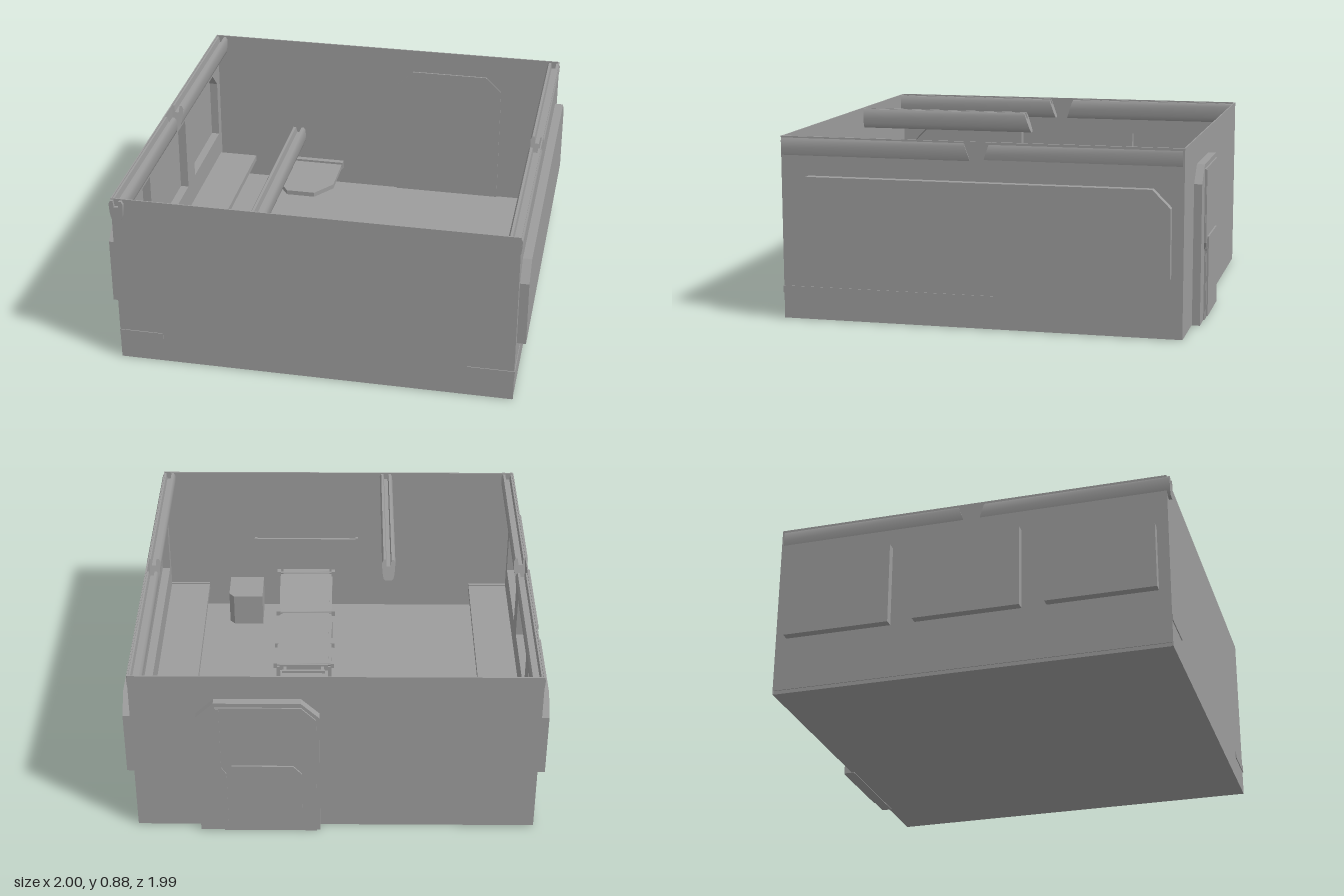
import * as THREE from 'three';
import { toCreasedNormals } from 'three/addons/utils/BufferGeometryUtils.js';

const mat = new THREE.MeshStandardMaterial({ color: 0x9c9c9c, side: THREE.DoubleSide });

function toShape(pts, holes = []) {
  const s = new THREE.Shape(pts.map(p => new THREE.Vector2(p[0], p[1])));
  holes.forEach(h => s.holes.push(new THREE.Path(h.map(p => new THREE.Vector2(p[0], p[1])))));
  return s;
}
const extrude = (shape, depth) => new THREE.ExtrudeGeometry(shape, { depth, bevelEnabled: false });

export function createModel() {
  const room = new THREE.Group();
  room.name = 'room';

  function add(name, geo, parent = room) {
    const m = new THREE.Mesh(geo, mat);
    m.name = name;
    parent.add(m);
    return m;
  }
  function box(name, x0, x1, y0, y1, z0, z1, parent) {
    const g = new THREE.BoxGeometry(x1 - x0, y1 - y0, z1 - z0);
    return add(name, g.translate((x0 + x1) / 2, (y0 + y1) / 2, (z0 + z1) / 2), parent);
  }
  // outline in [x, z], extruded upward
  function slab(name, pts, y0, y1, parent) {
    const g = extrude(toShape(pts.map(([x, z]) => [x, -z])), y1 - y0);
    return add(name, g.rotateX(-Math.PI / 2).translate(0, y0, 0), parent);
  }
  // outline in [z, y], extruded sideways
  function side(name, pts, x0, x1, holes = [], parent) {
    const flip = a => a.map(([z, y]) => [-z, y]);
    const g = extrude(toShape(flip(pts), holes.map(flip)), x1 - x0);
    return add(name, g.rotateY(Math.PI / 2).translate(x0, 0, 0), parent);
  }
  // outline in [x, y], extruded along z
  function facing(name, pts, z0, z1, parent) {
    return add(name, extrude(toShape(pts), z1 - z0).translate(0, 0, z0), parent);
  }

  const X = 0.957, FRONT = 0.98, BACK = -0.94, TOP = 0.883, T = 0.006;

  // Floor (slightly inset below the side walls), front and back walls
  box('floor', -X + 0.004, X - 0.004, 0.003, 0.022, BACK, FRONT);
  box('frontWall', -X, X, 0.004, TOP, FRONT - T, FRONT);
  box('backWall', -X, X, 0.004, TOP, BACK, BACK + T);

  // Side walls with window bays pushed outward
  const bay = (z0, z1, cutBack, cutFront, inset = 0) => {
    const b = 0.288 + inset, t = 0.698 - inset, c = 0.085;
    z0 += inset; z1 -= inset;
    return [[z0, b], [z1, b],
      ...(cutFront ? [[z1, t - c], [z1 - c, t]] : [[z1, t]]),
      ...(cutBack ? [[z0 + c, t], [z0, t - c]] : [[z0, t]])];
  };
  const wall = [[BACK, 0.021], [FRONT, 0.021], [FRONT, TOP], [BACK, TOP]];
  const bays = {
    left: [[-0.885, 0.93, true, true]],
    right: [[-0.885, -0.36, true, false], [-0.24, 0.28, false, false], [0.40, 0.925, false, true]],
  };
  for (const [key, sx] of [['left', 1], ['right', -1]]) {
    const span = (a, b) => sx > 0 ? [a, b] : [-b, -a];
    side(key + 'Wall', wall, ...span(X - T, X), bays[key].map(a => bay(...a, 0.006)));
    bays[key].forEach(a => {
      side(key + 'WindowRim', bay(...a), ...span(X - T, 0.995), [bay(...a, 0.006)]);
      side(key + 'WindowPane', bay(...a), ...span(0.993, 1));
    });
  }

  // Overhead troughs with rounded flanks and a sloping inner end
  const half = [[0.016, 0.775], [0.024, 0.782], [0.029, 0.8], [0.032, 0.825], [0.034, 0.862],
    [0.026, 0.877], [0.014, 0.877], [0.01, 0.845]];
  const trough = [...half, ...half.map(([x, y]) => [-x, y]).reverse()];
  function rail(x, z0, z1, slopeFront) {
    const m = facing('overheadRail', trough.map(([px, py]) => [px + x, py]), z0, z1);
    const p = m.geometry.attributes.position, end = slopeFront ? z1 : z0, dir = slopeFront ? -1 : 1;
    for (let i = 0; i < p.count; i++) {
      if (Math.abs(p.getZ(i) - end) < 1e-4) p.setZ(i, end + dir * 0.035 * (p.getY(i) - 0.775) / 0.102);
    }
    m.geometry = toCreasedNormals(m.geometry, 0.6);
  }
  rail(0.928, -0.93, 0, true);
  rail(0.93, 0.05, 0.978, false);
  rail(-0.928, -0.93, 0, true);
  rail(-0.928, 0.065, 0.995, false);
  rail(-0.26, 0.05, 0.978, false);

  // Benches along both side walls
  slab('rightBench', [[-X, -0.905], [-0.742, -0.905], [-0.742, 0.984], [-X, 0.984]], 0.128, 0.16);
  const corner = [];
  for (let i = 0; i <= 5; i++) {
    const a = i / 5 * Math.PI / 2;
    corner.push([0.765 - 0.03 * Math.cos(a), -0.05 - 0.03 * Math.sin(a)]);
  }
  slab('leftBench', [[0.735, 0.984], ...corner, [0.96, -0.08], [0.96, 0.984]], 0.128, 0.162);
  box('rightBenchLip', -X, -0.742, 0.16, 0.168, 0.958, 0.978);
  box('leftBenchLip', 0.735, X, 0.162, 0.17, 0.962, 0.978);

  // Folding table on the back wall
  const table = new THREE.Group();
  table.name = 'foldingTable';
  room.add(table);
  slab('tableTop', [[-0.56, BACK], [-0.24, BACK], [-0.24, -0.665], [-0.325, -0.55], [-0.48, -0.55], [-0.56, -0.665]], 0.125, 0.15, table);
  box('tableHinge', -0.565, -0.235, 0.12, 0.162, BACK, -0.905, table);

  // Cabinet and wall shelf at the front
  slab('cabinet', [[0.425, 0.972], [0.425, 0.77], [0.585, 0.77], [0.612, 0.8], [0.612, 0.972]], 0.02, 0.205);
  box('wallShelf', -0.11, 0.47, 0.45, 0.465, 0.962, 0.978);
  for (const x of [-0.11, 0.455]) box('shelfBracket', x, x + 0.015, 0.445, 0.472, 0.958, 0.978);

  // Reclining couch: cushions, side frame, cross rods and legs
  const couch = new THREE.Group();
  couch.name = 'recliningCouch';
  room.add(couch);
  const cx = 0.18;
  side('seatCushion', [[0.165, 0.13], [0.67, 0.13], [0.67, 0.165], [0.165, 0.165]], cx - 0.13, cx + 0.13, [], couch);
  side('backCushion', [[0.67, 0.165], [0.69, 0.142], [0.895, 0.272], [0.915, 0.28], [0.915, 0.297], [0.878, 0.297]], cx - 0.13, cx + 0.13, [], couch);
  for (const s of [-1, 1]) {
    const x = cx + s * 0.138;
    box('seatFrame', x - 0.008, x + 0.008, 0.125, 0.155, 0.16, 0.68, couch);
    side('backFrame', [[0.665, 0.155], [0.68, 0.13], [0.895, 0.265], [0.885, 0.29]], x - 0.008, x + 0.008, [], couch);
    for (const z of [0.2, 0.64]) box('couchLeg', x - 0.01, x + 0.01, 0.02, 0.13, z - 0.01, z + 0.01, couch);
    box('footBracket', cx + s * 0.1 - 0.008, cx + s * 0.1 + 0.008, 0.14, 0.155, 0.125, 0.17, couch);
  }
  for (const [z, y] of [[0.175, 0.162], [0.39, 0.145], [0.672, 0.165], [0.88, 0.294]]) {
    const rod = add('crossRod', new THREE.CylinderGeometry(0.007, 0.007, 0.31, 8).rotateZ(Math.PI / 2), couch);
    rod.position.set(cx, y, z);
    for (const s of [-1, 1]) {
      const x = cx + s * 0.152;
      box('rodKnob', x - 0.01, x + 0.01, y - 0.014, y + 0.014, z - 0.014, z + 0.014, couch);
    }
  }
  box('footBar', cx - 0.115, cx + 0.115, 0.14, 0.155, 0.125, 0.137, couch);

  // Door through the back wall: frame, leaf, jogged side strip and lower panel
  const door = new THREE.Group();
  door.name = 'door';
  room.add(door);
  facing('doorFrame', [[0.075, 0], [0.65, 0], [0.65, 0.675], [0.565, 0.757], [0.16, 0.757], [0.075, 0.675]], -0.978, -0.926, door);
  facing('doorLeaf', [[0.09, 0.002], [0.535, 0.002], [0.535, 0.34], [0.56, 0.38], [0.56, 0.735], [0.16, 0.735], [0.09, 0.665]], -0.985, -0.97, door);
  facing('lowerPanel', [[0.16, 0.01], [0.49, 0.01], [0.49, 0.4], [0.2, 0.4], [0.16, 0.355]], -0.993, -0.98, door);
  facing('doorEdgeStrip', [[0.515, 0.01], [0.53, 0.01], [0.53, 0.34], [0.555, 0.38], [0.555, 0.73], [0.54, 0.73], [0.54, 0.39], [0.515, 0.35]], -0.989, -0.98, door);
  return room;
}
